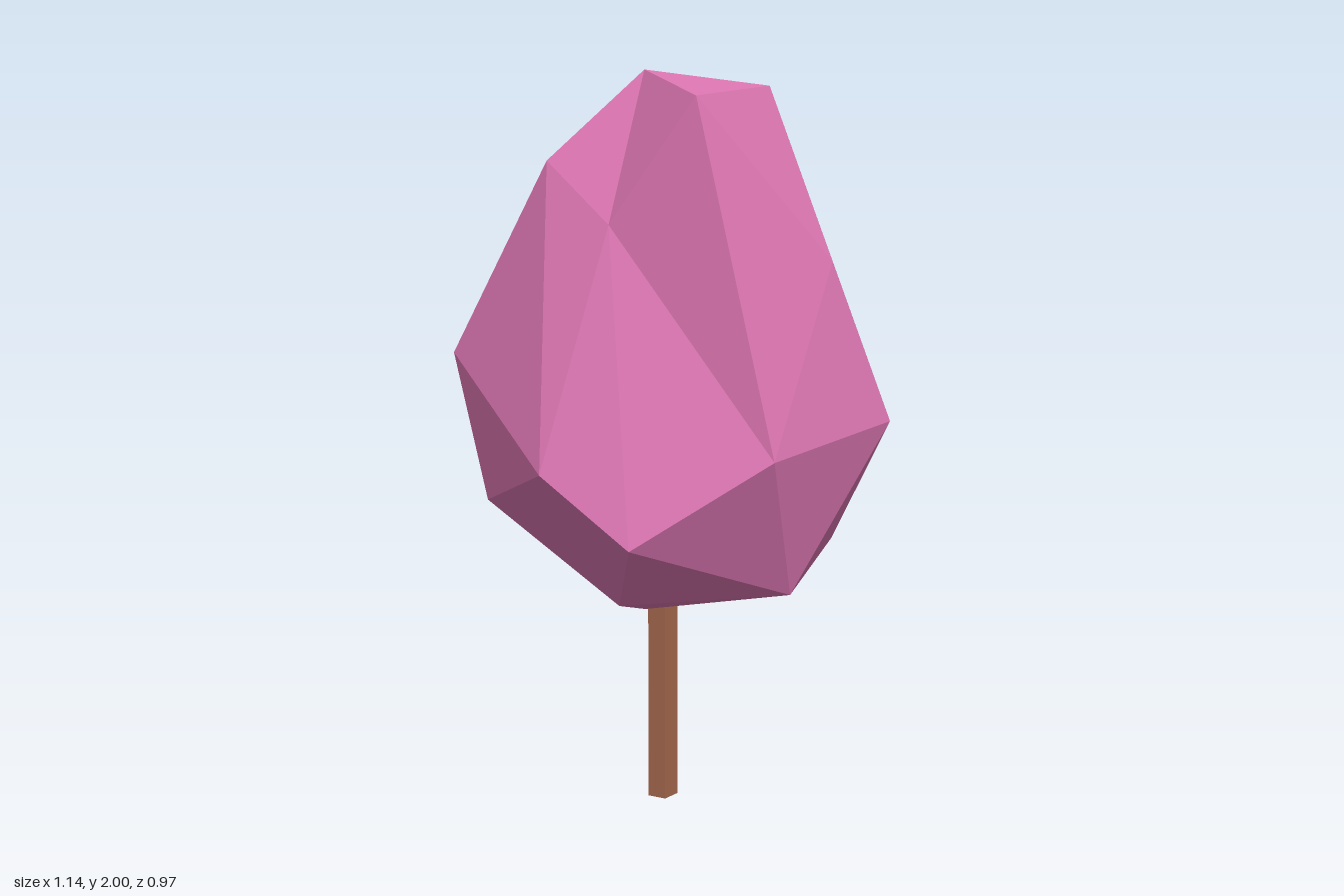
import * as THREE from 'three';

// Corners of the faceted crown
const corners = {
  // peak, shoulder ring and the notch behind the peak
  A: [-0.04, 2.0, 0.055], B: [0.19, 1.96, 0.245], C: [0.235, 1.955, -0.12],
  D: [-0.2, 1.91, -0.15], E: [-0.26, 1.77, 0.18], F: [-0.04, 1.63, 0.267],
  G: [0.035, 1.69, -0.41], H: [0.44, 1.52, -0.06], W: [0.01, 1.73, -0.17],
  // widest ring, with the dent X at the back
  I: [-0.57, 1.23, 0.15], J: [-0.56, 1.11, -0.24], K: [0.57, 1.085, -0.17],
  L: [0.435, 1.075, 0.31], M: [-0.14, 1.015, 0.47], T: [0.25, 0.97, -0.48],
  U: [-0.1, 1.04, -0.465], X: [-0.35, 1.28, -0.27],
  // underside
  N: [0.115, 0.85, 0.48], O: [-0.44, 0.845, 0.21], P: [0.39, 0.65, 0.075],
  Q: [-0.03, 0.61, 0.24], R: [-0.03, 0.55, 0.08], S: [0.39, 0.72, -0.23],
  V: [0.15, 0.875, -0.485], Y: [-0.37, 0.82, -0.16],
};

// Facets fanned around a hub corner: first letter is the hub, the rest its rim
const fans = [
  'AEFBCWE', 'DEIJXUGWE', 'KHCTSPLH', 'MEIOQNFE', 'VTGUYRST',
  'RSPQOY', 'LHBFNP', 'JXYOI', 'CHB', 'CWGT', 'XUY', 'NPQ',
];

function crownGeometry() {
  const centre = new THREE.Vector3(0, 1.1, 0);
  const points = [];
  const normal = new THREE.Vector3();
  for (const [hub, ...rim] of fans) {
    for (let i = 0; i < rim.length - 1; i++) {
      const [a, b, c] = [hub, rim[i], rim[i + 1]].map((k) => new THREE.Vector3(...corners[k]));
      // turn every facet away from the middle of the crown
      new THREE.Triangle(a, b, c).getNormal(normal);
      const outward = normal.dot(a.clone().sub(centre)) > 0;
      points.push(...(outward ? [a, b, c] : [a, c, b]));
    }
  }
  const geometry = new THREE.BufferGeometry().setFromPoints(points);
  geometry.computeVertexNormals();
  return geometry;
}

export function createModel() {
  const tree = new THREE.Group();
  tree.name = 'tree';

  // Leafy crown
  const crown = new THREE.Mesh(
    crownGeometry(),
    new THREE.MeshStandardMaterial({ color: 0xdc76b2, flatShading: true })
  );
  crown.name = 'crown';

  // Five-sided trunk, flat side to the front
  const height = 0.65;
  const trunk = new THREE.Mesh(
    new THREE.CylinderGeometry(0.043, 0.043, height, 5, 1, false, Math.PI),
    new THREE.MeshStandardMaterial({ color: 0xa0654a, flatShading: true })
  );
  trunk.name = 'trunk';
  trunk.position.set(0.003, height / 2, 0.043);

  tree.add(crown, trunk);
  return tree;
}
